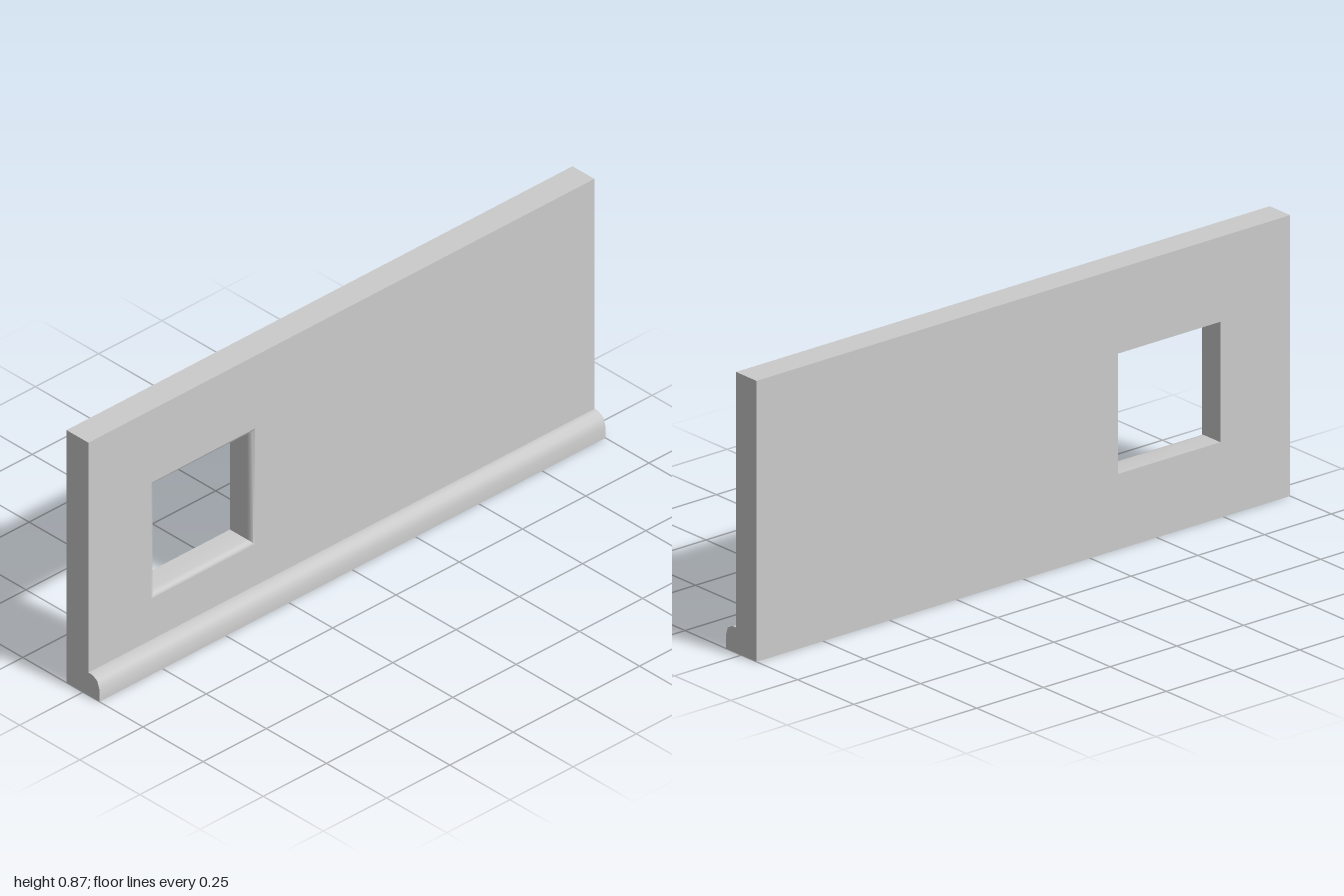
import * as THREE from 'three';
import { toCreasedNormals } from 'three/addons/utils/BufferGeometryUtils.js';

const HEIGHT = 0.866, BACK = -0.068, FRONT = 0.023;
const OPENING = { x0: -0.738, y0: 0.233, x1: -0.354, y1: 0.604 };

// Corners of a rectangle, counter-clockwise from the front, grown by g
const corners = ({ x0, y0, x1, y1 }, g = 0) =>
  [[x0 - g, y0 - g], [x1 + g, y0 - g], [x1 + g, y1 + g], [x0 - g, y1 + g]];

// Four-sided band through rectangles; back-to-front faces out, front-to-back faces in
function band(rings) {
  const pos = [];
  for (let r = 0; r < rings.length - 1; r++) {
    const [a, b] = [rings[r], rings[r + 1]];
    for (let i = 0; i < 4; i++) {
      const j = (i + 1) % 4;
      const p = (ring, k) => [...ring.pts[k], ring.z];
      pos.push(...p(a, i), ...p(a, j), ...p(b, j), ...p(a, i), ...p(b, j), ...p(b, i));
    }
  }
  const geo = new THREE.BufferGeometry();
  geo.setAttribute('position', new THREE.Float32BufferAttribute(pos, 3));
  geo.computeVertexNormals();
  return toCreasedNormals(geo, 0.7);
}

// Flat wall face with the opening cut out
function face(outer, hole, z) {
  const toPoints = (list) => list.map(([x, y]) => new THREE.Vector2(x, y));
  const shape = new THREE.Shape(toPoints(outer));
  shape.holes.push(new THREE.Path(toPoints(hole)));
  return new THREE.ShapeGeometry(shape).translate(0, 0, z);
}

export function createModel() {
  const group = new THREE.Group();
  group.name = 'wallWithWindowOpening';
  const material = new THREE.MeshStandardMaterial({ color: 0xcccccc });
  const backMaterial = material.clone();
  backMaterial.side = THREE.BackSide;
  const add = (name, geo, mat = material) => {
    const mesh = new THREE.Mesh(geo, mat);
    mesh.name = name;
    group.add(mesh);
  };

  // Wall slab
  const outer = corners({ x0: -1, y0: 0, x1: 1, y1: HEIGHT });
  const bevel = 0.013, bevelDepth = 0.02;
  add('wallFront', face(outer, corners(OPENING, bevel), FRONT));
  add('wallBack', face(outer, corners(OPENING), BACK), backMaterial);
  add('wallEdges', band([{ pts: outer, z: BACK }, { pts: outer, z: FRONT }]));

  // Window reveal, rounded over at the front
  const reveal = [];
  for (let i = 0; i <= 3; i++) {
    const t = (i / 3) * Math.PI / 2;
    reveal.push({
      pts: corners(OPENING, bevel * (1 - Math.sin(t))),
      z: FRONT - bevelDepth * (1 - Math.cos(t)),
    });
  }
  reveal.push({ pts: corners(OPENING), z: BACK });
  add('windowReveal', band(reveal));

  // Skirting moulding: profile in (z, y), run along x
  const profile = [[FRONT, 0], [0.069, 0], [0.069, 0.04], [0.06, 0.067], [0.04, 0.078], [FRONT, 0.078]];
  const shape = new THREE.Shape(profile.map(([z, y]) => new THREE.Vector2(-z, y)));
  const skirting = new THREE.ExtrudeGeometry(shape, { depth: 2, bevelEnabled: false });
  skirting.translate(0, 0, -1).rotateY(Math.PI / 2);
  add('skirting', toCreasedNormals(skirting, Math.PI / 3));

  return group;
}
